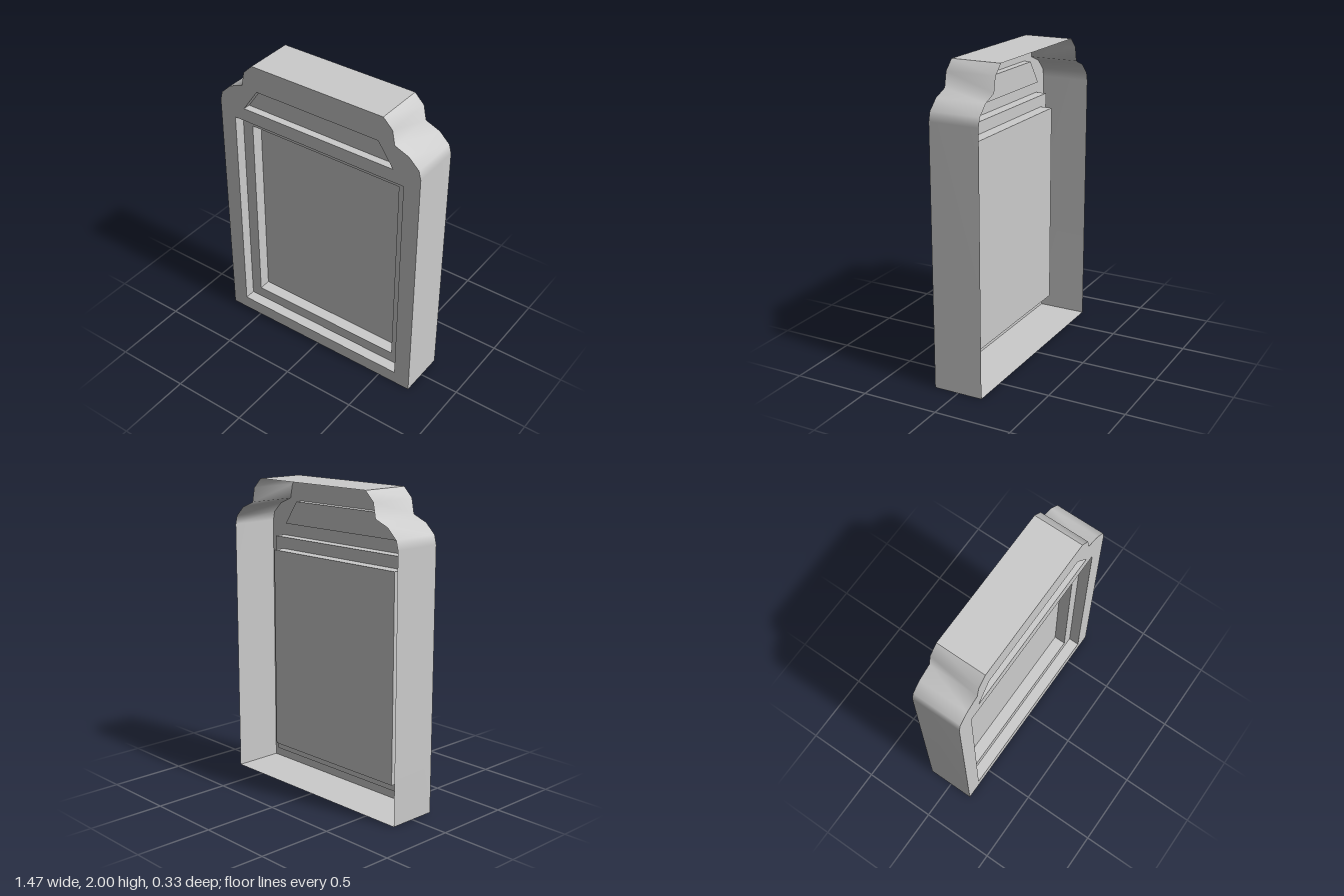
import * as THREE from 'three';

const FRONT = 0.163, BACK = -0.163;
const STEP1 = 0.09, STEP2 = 0.01, SLOT = 0.113; // z of the recess floors

const material = new THREE.MeshStandardMaterial({ color: 0xcccccc, side: THREE.DoubleSide });

function add(group, name, geometry) {
  const mesh = new THREE.Mesh(geometry, material);
  mesh.name = name;
  group.add(mesh);
}

// Flat sheet facing +z, with optional holes
function sheet(points, z, holes = []) {
  const toVectors = (list) => list.map(([x, y]) => new THREE.Vector2(x, y));
  const shape = new THREE.Shape(toVectors(points));
  for (const hole of holes) shape.holes.push(new THREE.Path(toVectors(hole)));
  return new THREE.ShapeGeometry(shape).translate(0, 0, z);
}

// Wall along a path between two depths, facing right of the direction of travel
function wall(points, zFront, zBack, flat = false) {
  const positions = [], index = [];
  points.forEach(([x, y], i) => {
    positions.push(x, y, zFront, x, y, zBack);
    if (i > 0) {
      const a = 2 * (i - 1);
      index.push(a, a + 1, a + 2, a + 1, a + 3, a + 2);
    }
  });
  let geometry = new THREE.BufferGeometry();
  geometry.setAttribute('position', new THREE.Float32BufferAttribute(positions, 3));
  geometry.setIndex(index);
  if (flat) geometry = geometry.toNonIndexed();
  geometry.computeVertexNormals();
  return geometry;
}

// Inward-facing walls of a recess given counter-clockwise corners
function recess(corners, zFront, zBack) {
  const loop = [...corners, corners[0]].reverse();
  return wall(loop, zFront, zBack, true);
}

const rectangle = (w, y0, y1) => [[-w, y0], [w, y0], [w, y1], [-w, y1]];

export function createModel() {
  const group = new THREE.Group();
  group.name = 'casing';

  // Shouldered outline, bottom to top on the +x side, then mirrored
  const side = [[0.733, 0], [0.733, 1.68], [0.718, 1.738], [0.65, 1.803],
    [0.553, 1.842], [0.534, 1.937], [0.47, 2]];
  const otherSide = side.map(([x, y]) => [-x, y]).reverse();
  const outer = rectangle(0.622, 0.09, 1.59);
  const inner = rectangle(0.547, 0.165, 1.513);
  const slot = [[-0.547, 1.678], [0.547, 1.678], [0.44, 1.832], [-0.44, 1.832]];

  // Front plate and the outer walls, open at the back
  add(group, 'frontPlate', sheet([...side, ...otherSide], FRONT, [outer, slot]));
  add(group, 'leftWall', wall(side, FRONT, BACK));
  add(group, 'rightWall', wall(otherSide, FRONT, BACK));
  add(group, 'topWall', wall([side.at(-1), otherSide[0]], FRONT, BACK));
  add(group, 'bottomWall', wall([otherSide.at(-1), side[0]], FRONT, BACK));

  // Two-step panel recess
  add(group, 'outerRecessWalls', recess(outer, FRONT, STEP1));
  add(group, 'recessLedge', sheet(outer, STEP1, [inner]));
  add(group, 'innerRecessWalls', recess(inner, STEP1, STEP2));
  add(group, 'panel', sheet(inner, STEP2));

  // Trapezoid recess above the panel
  add(group, 'upperRecessWalls', recess(slot, FRONT, SLOT));
  add(group, 'upperRecessFloor', sheet(slot, SLOT));

  return group;
}
